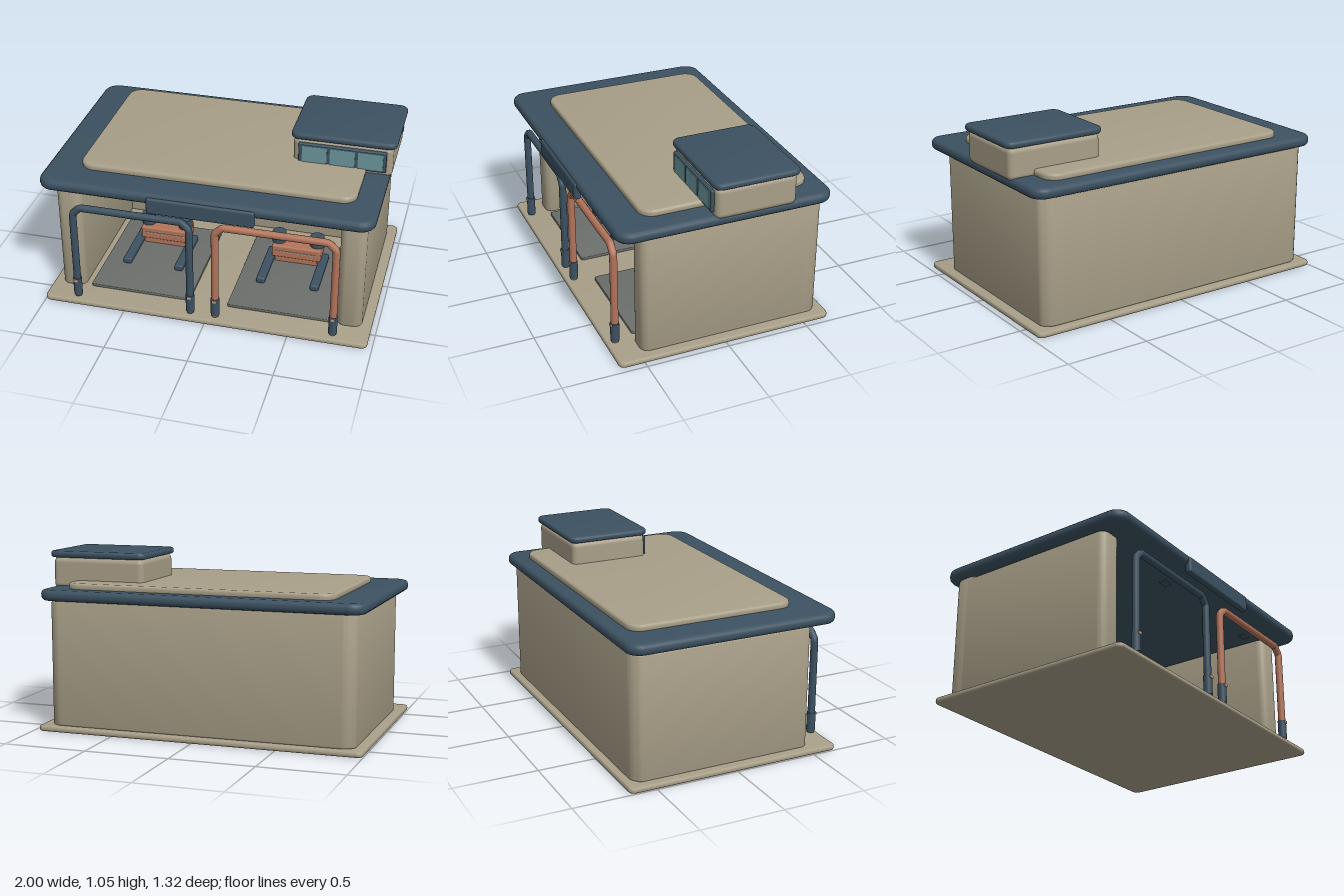
import * as THREE from 'three';
import { toCreasedNormals } from 'three/addons/utils/BufferGeometryUtils.js';
import { RoundedBoxGeometry } from 'three/addons/geometries/RoundedBoxGeometry.js';

function material(name, color) {
  const m = new THREE.MeshStandardMaterial({ color });
  m.name = name;
  return m;
}

export function createModel() {
  const stone = material('warm stone', 0xa89f88);
  const navy = material('slate blue', 0x3c5161);
  const copper = material('copper', 0xb3745a);
  const matGrey = material('mat grey', 0x6c6f6b);
  const glass = material('window glass', 0x6c979e);
  const pale = material('pale trim', 0xb9a896);

  const model = new THREE.Group();
  model.name = 'garage';

  function add(name, geometry, mat, parent = model) {
    const mesh = new THREE.Mesh(geometry, mat);
    mesh.name = name;
    parent.add(mesh);
    return mesh;
  }

  // Upright slab with rounded plan corners (r) and softened top and bottom rims (b)
  function slab(name, [x0, x1], [y0, y1], [z0, z1], r, b, mat, parent) {
    const w = (x1 - x0) / 2 - b, d = (z1 - z0) / 2 - b, k = Math.max(r - b, 0.002);
    const s = new THREE.Shape();
    s.moveTo(-w + k, -d);
    s.absarc(w - k, -d + k, k, -Math.PI / 2, 0);
    s.absarc(w - k, d - k, k, 0, Math.PI / 2);
    s.absarc(-w + k, d - k, k, Math.PI / 2, Math.PI);
    s.absarc(-w + k, -d + k, k, Math.PI, Math.PI * 1.5);
    const g = new THREE.ExtrudeGeometry(s, {
      depth: y1 - y0 - 2 * b, bevelEnabled: true, bevelSize: b, bevelThickness: b,
      bevelSegments: 3, curveSegments: 8,
    });
    g.rotateX(-Math.PI / 2);
    g.translate((x0 + x1) / 2, y0 + b, (z0 + z1) / 2);
    return add(name, toCreasedNormals(g, 0.7), mat, parent);
  }

  function roundedBox(name, [x0, x1], [y0, y1], [z0, z1], r, mat, parent) {
    const g = new RoundedBoxGeometry(x1 - x0, y1 - y0, z1 - z0, 3, r);
    g.translate((x0 + x1) / 2, (y0 + y1) / 2, (z0 + z1) / 2);
    return add(name, g, mat, parent);
  }

  function box(name, [x0, x1], [y0, y1], [z0, z1], mat, parent) {
    const g = new THREE.BoxGeometry(x1 - x0, y1 - y0, z1 - z0);
    g.translate((x0 + x1) / 2, (y0 + y1) / 2, (z0 + z1) / 2);
    return add(name, g, mat, parent);
  }

  function post(name, x, [y0, y1], z, r, mat, parent) {
    const g = new THREE.CylinderGeometry(r, r, y1 - y0, 20);
    g.translate(x, (y0 + y1) / 2, z);
    return add(name, g, mat, parent);
  }

  // Shell: floor slab, three walls, roof with raised deck
  slab('floorSlab', [-1, 0.97], [0, 0.033], [-0.66, 0.65], 0.035, 0.012, stone);
  slab('rightWall', [-0.945, -0.795], [0.03, 0.77], [-0.6, 0.495], 0.05, 0.01, stone);
  slab('leftWall', [0.76, 0.912], [0.03, 0.77], [-0.6, 0.495], 0.05, 0.01, stone);
  slab('backWall', [-0.945, 0.912], [0.03, 0.785], [-0.617, -0.42], 0.08, 0.012, stone);
  slab('roof', [-0.997, 0.967], [0.78, 0.845], [-0.65, 0.643], 0.09, 0.026, navy);
  slab('roofDeck', [-0.8, 0.83], [0.835, 0.88], [-0.557, 0.457], 0.085, 0.015, stone);
  roundedBox('fasciaPanel', [-0.333, 0.3], [0.725, 0.828], [0.615, 0.656], 0.015, navy);

  // Rooftop cabin
  roundedBox('cabin', [0.395, 0.98], [0.825, 1.018], [-0.4, 0.088], 0.035, stone);
  slab('cabinRoof', [0.38, 1], [1.014, 1.054], [-0.415, 0.103], 0.05, 0.016, navy);
  roundedBox('windowFrame', [0.43, 0.945], [0.865, 0.995], [0.08, 0.106], 0.007, navy);
  for (let i = 0; i < 3; i++) {
    const x = 0.453 + i * 0.164;
    box('windowPane', [x, x + 0.146], [0.88, 0.985], [0.104, 0.111], glass);
  }

  // One service bay: gateway, hanging sensor, floor mat and machine
  function bay(name, x, frameMat) {
    const g = new THREE.Group();
    g.name = name;
    g.position.x = x;
    model.add(g);

    // Gateway tube with clipped corners
    const h = 0.352, top = 0.668, c = 0.045;
    const points = [
      [-h, 0.045], [-h, top - c], [-h + c, top], [h - c, top], [h, top - c], [h, 0.045],
    ].map(([px, py]) => new THREE.Vector3(px, py, 0.602));
    const path = new THREE.CurvePath();
    for (let i = 1; i < points.length; i++) path.add(new THREE.LineCurve3(points[i - 1], points[i]));
    add('gatewayFrame', new THREE.TubeGeometry(path, 120, 0.022, 14), frameMat, g);
    for (const s of [-1, 1]) {
      post('gatewayFoot', s * h, [0.055, 0.17], 0.602, 0.026, navy, g);
      box('footMarker', [s * h - 0.014, s * h + 0.014], [0.152, 0.168], [0.624, 0.631], pale, g);
    }
    box('sensorPlate', [-0.03, 0.03], [0.625, 0.634], [0.535, 0.58], navy, g);

    // Floor mat
    slab('floorMat', [-0.31, 0.315], [0.03, 0.052], [-0.28, 0.485], 0.015, 0.004, matGrey, g);

    // Machine body with two canisters and two forward rails
    roundedBox('machineBody', [-0.155, 0.155], [0.085, 0.167], [-0.18, -0.03], 0.01, copper, g);
    box('machineBase', [-0.135, 0.135], [0.05, 0.09], [-0.17, -0.04], copper, g);
    box('machineStripe', [-0.13, 0.13], [0.127, 0.134], [-0.032, -0.026], pale, g);
    for (const s of [-1, 1]) {
      post('canister', s * 0.121, [0.163, 0.234], -0.1, 0.044, navy, g);
      const r = s * 0.167;
      roundedBox('rail', [r - 0.027, r + 0.027], [0.05, 0.091], [-0.14, 0.23], 0.012, navy, g);
    }
  }
  bay('rightBay', -0.447, navy);
  bay('leftBay', 0.41, copper);

  return model;
}
